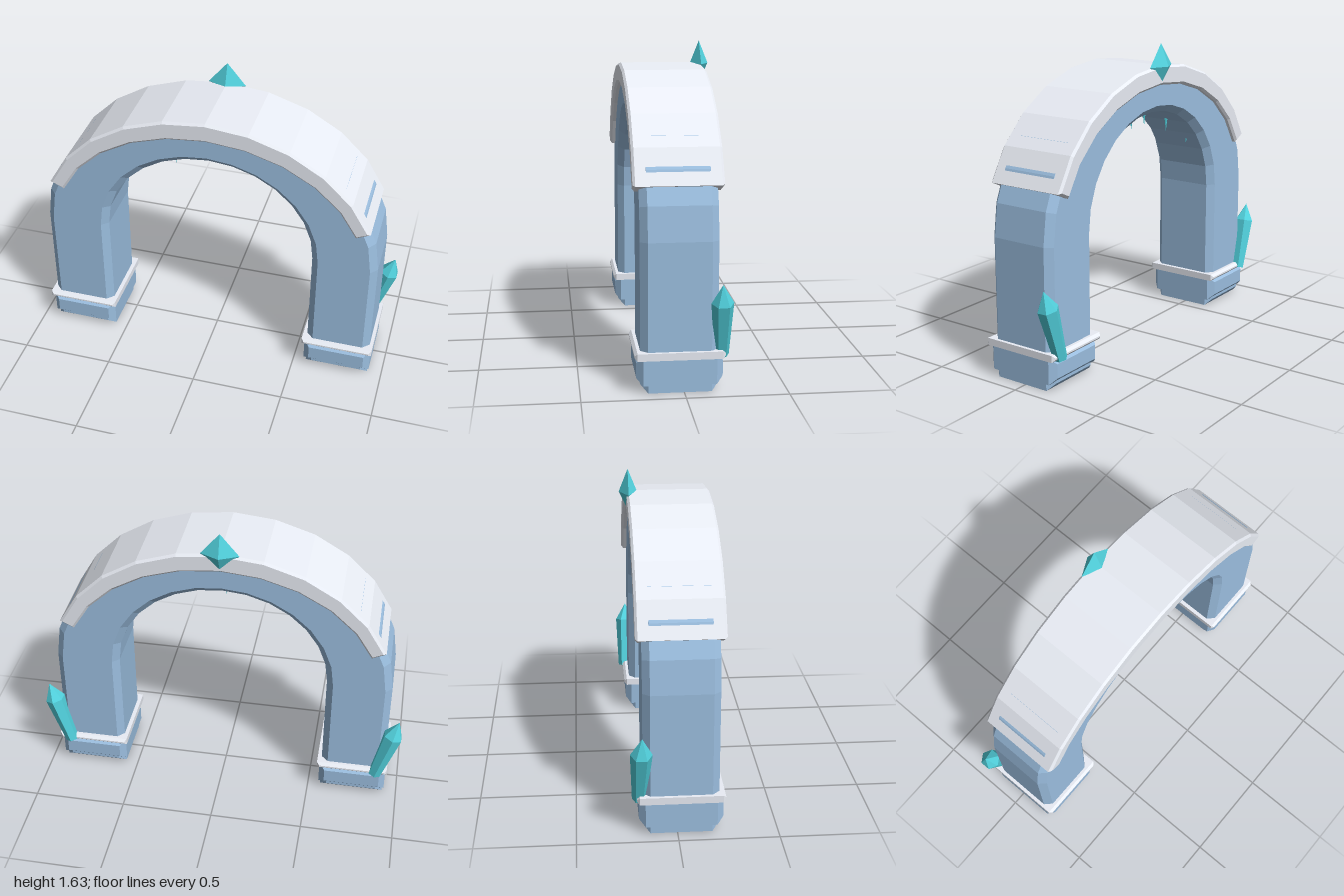
import * as THREE from 'three';

const ice = new THREE.MeshStandardMaterial({ color: 0x9bbedf });
const snow = new THREE.MeshStandardMaterial({ color: 0xe9edf5 });
const crystal = new THREE.MeshStandardMaterial({ color: 0x52d2de, flatShading: true });

const SPRING = 0.74; // height where the legs turn into the arch

// Points on an elliptical arc about the spring line, from angle a0 to a1
function arc(rx, ry, a0, a1, segments) {
  const pts = [];
  for (let i = 0; i <= segments; i++) {
    const a = a0 + ((a1 - a0) * i) / segments;
    pts.push(new THREE.Vector2(rx * Math.cos(a), SPRING + ry * Math.sin(a)));
  }
  return pts;
}

// Chamfered slab: the outline is the widest section, from zBack to zFront
function slab(name, points, zBack, zFront, bevel, material) {
  const geo = new THREE.ExtrudeGeometry(new THREE.Shape(points), {
    depth: zFront - zBack - 2 * bevel,
    bevelThickness: bevel, bevelSize: bevel, bevelOffset: -bevel, bevelSegments: 1,
  });
  geo.translate(0, 0, zBack + bevel);
  const mesh = new THREE.Mesh(geo, material);
  mesh.name = name;
  return mesh;
}

function rect(x0, x1, y0, y1) {
  return [[x0, y0], [x1, y0], [x1, y1], [x0, y1]].map(([x, y]) => new THREE.Vector2(x, y));
}

// Faceted crystal turned from a [radius, height] profile
function gem(name, profile, sides) {
  const geo = new THREE.LatheGeometry(profile.map(([r, y]) => new THREE.Vector2(r, y)), sides);
  const mesh = new THREE.Mesh(geo, crystal);
  mesh.name = name;
  return mesh;
}

export function createModel() {
  const model = new THREE.Group();
  model.name = 'iceArch';

  // Arch body with both legs
  const outline = [
    new THREE.Vector2(0.92, 0), ...arc(0.92, 0.768, 0, Math.PI, 14), new THREE.Vector2(-0.92, 0),
    new THREE.Vector2(-0.57, 0), ...arc(0.57, 0.52, Math.PI, 0, 14), new THREE.Vector2(0.57, 0),
  ];
  model.add(slab('archBody', outline, -0.17, 0.21, 0.036, ice));

  // Snow cap over the crown
  const end = 0.342;
  const cap = [
    ...arc(0.924, 0.776, end, Math.PI - end, 10),
    ...arc(0.845, 0.67, Math.PI - end, end, 10),
  ];
  model.add(slab('snowCap', cap, -0.2, 0.24, 0.012, snow));

  for (const [side, s] of [['left', 1], ['right', -1]]) {
    // Foot block and snowy trim around each leg
    const span = s > 0 ? [0.56, 0.93] : [-0.93, -0.56];
    const trim = s > 0 ? [0.548, 0.938] : [-0.938, -0.548];
    model.add(slab(side + 'Foot', rect(...span, 0.04, 0.18), -0.19, 0.23, 0.032, ice));
    model.add(slab(side + 'FootTrim', rect(...trim, 0.167, 0.204), -0.2, 0.24, 0.014, snow));

    // Leaning crystal behind each leg
    const shard = gem(side + 'Crystal', [[0, 0], [0.036, 0], [0.055, 0.29], [0, 0.39]], 6);
    shard.position.set(s * 0.87, 0.17, -0.187);
    shard.rotation.set(0.03, 0, -s * 0.28);
    model.add(shard);
  }

  // Crown crystal
  const crown = gem('crownCrystal', [[0, -0.1], [0.1, 0], [0, 0.12]], 4);
  crown.scale.z = 0.48;
  crown.position.set(0, 1.51, -0.19);
  model.add(crown);

  // Icicles under the arch: x, tip height, z, radius, length
  const icicles = [
    [0, 1.15, 0, 0.021, 0.13], [0.21, 1.13, 0.06, 0.015, 0.12],
    [0.34, 1.085, 0, 0.015, 0.12], [0.475, 0.995, -0.05, 0.014, 0.11],
  ];
  for (const [x, y, z, r, h] of icicles) {
    for (const s of x ? [1, -1] : [1]) {
      const icicle = gem('icicle', [[0, 0], [r, h], [0, h]], 5);
      icicle.position.set(s * x, y, z);
      model.add(icicle);
    }
  }
  return model;
}
